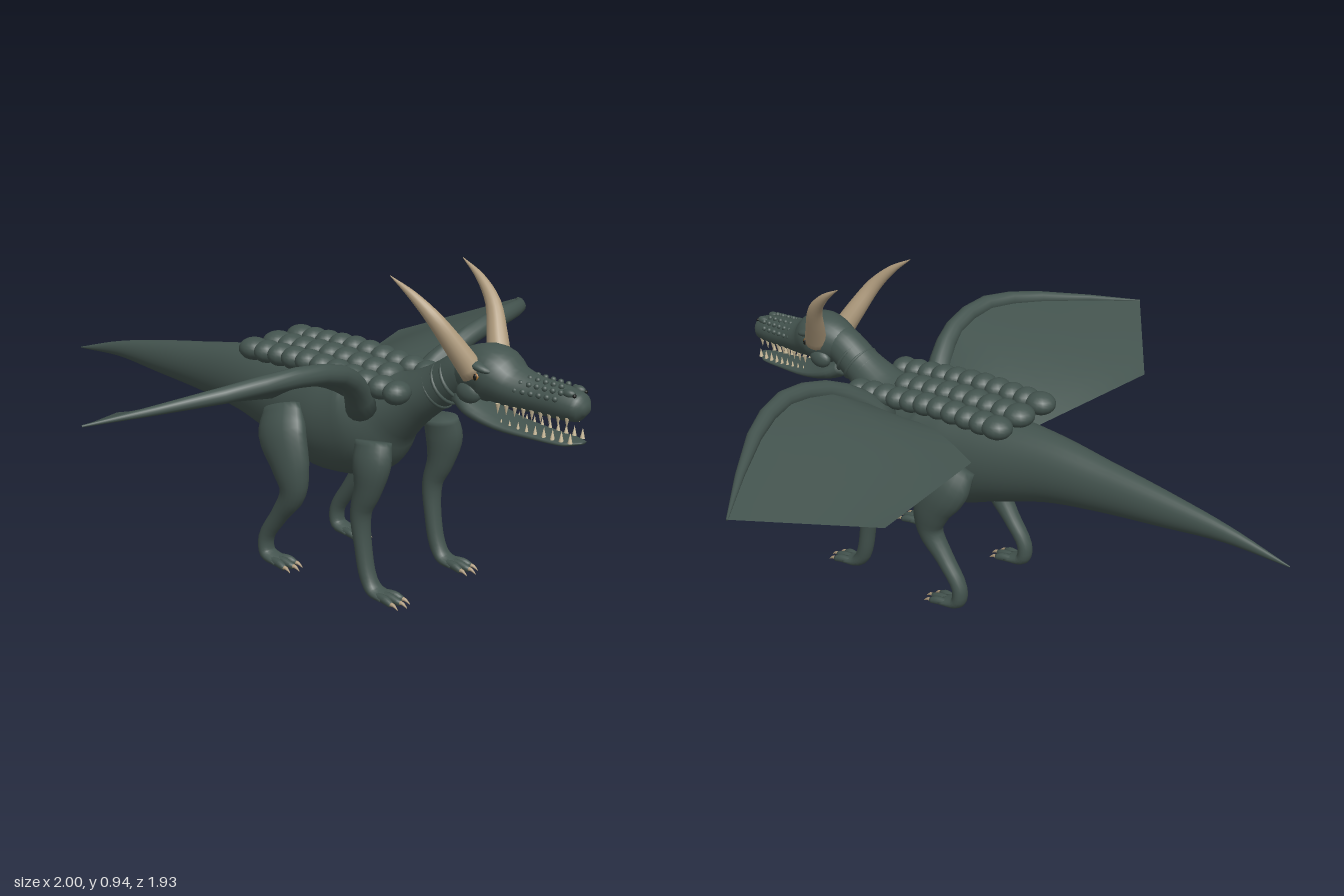
import * as THREE from 'three';

const mat = (name, color, side = THREE.FrontSide) => {
  const m = new THREE.MeshStandardMaterial({ color, side });
  m.name = name;
  return m;
};

// Closed skin of elliptical rings along [x, y, z, heightRadius, sideRadius] stations
function loft(stations, steps, n, ref = new THREE.Vector3(0, 0, 1)) {
  const path = new THREE.CatmullRomCurve3(stations.map(s => new THREE.Vector3(s[0], s[1], s[2])));
  const radii = new THREE.CatmullRomCurve3(stations.map(s => new THREE.Vector3(s[3], s[4], 0)));
  const rows = (stations.length - 1) * steps, pos = [], idx = [];
  for (let i = 0; i <= rows; i++) {
    const p = path.getPoint(i / rows), r = radii.getPoint(i / rows), T = path.getTangent(i / rows);
    const S = ref.clone().addScaledVector(T, -ref.dot(T)).normalize();
    const U = S.clone().cross(T);
    for (let j = 0; j < n; j++) {
      const a = (j / n) * Math.PI * 2;
      const v = p.clone().addScaledVector(U, Math.cos(a) * Math.max(r.x, 0.001)).addScaledVector(S, Math.sin(a) * Math.max(r.y, 0.001));
      pos.push(v.x, v.y, v.z);
    }
  }
  for (let i = 0; i < rows; i++) for (let j = 0; j < n; j++) {
    const k = (j + 1) % n, a = i * n + j, b = i * n + k;
    idx.push(a, b, a + n, b, b + n, a + n);
  }
  const first = stations[0], last = stations[stations.length - 1], c = (rows + 1) * n;
  pos.push(first[0], first[1], first[2], last[0], last[1], last[2]);
  for (let j = 0; j < n; j++) {
    const k = (j + 1) % n;
    idx.push(c, k, j, c + 1, rows * n + j, rows * n + k);
  }
  const g = new THREE.BufferGeometry();
  g.setAttribute('position', new THREE.Float32BufferAttribute(pos, 3));
  g.setIndex(idx);
  g.computeVertexNormals();
  return g;
}

// Wing sheet between leading and trailing edges, arched between them
function sheet(lead, trail, m = 10) {
  const pos = [], idx = [], w = m + 1;
  lead.forEach((l, i) => {
    const arch = 0.05 * (1 - i / (lead.length - 1));
    for (let j = 0; j <= m; j++) {
      const p = new THREE.Vector3(...l).lerp(new THREE.Vector3(...trail[i]), j / m);
      pos.push(p.x, p.y + arch * Math.sin((Math.PI * j) / m), p.z);
    }
  });
  for (let i = 0; i < lead.length - 1; i++) for (let j = 0; j < m; j++) {
    const a = i * w + j;
    idx.push(a, a + 1, a + w, a + 1, a + w + 1, a + w);
  }
  const g = new THREE.BufferGeometry();
  g.setAttribute('position', new THREE.Float32BufferAttribute(pos, 3));
  g.setIndex(idx);
  g.computeVertexNormals();
  return g;
}

export function createModel() {
  const root = new THREE.Group();
  root.name = 'hornedDragon';
  const hide = mat('hide', 0x43534e, THREE.DoubleSide);
  const horn = mat('horn', 0xae9a7c);
  const ivory = mat('ivory', 0xcbbb9a);
  const amber = mat('amber', 0xa8702f);
  const dark = mat('dark', 0x151817);

  const add = (name, geo, m, parent = root) => {
    const mesh = new THREE.Mesh(geo, m);
    mesh.name = name;
    parent.add(mesh);
    return mesh;
  };
  const ball = new THREE.SphereGeometry(1, 16, 12);
  const blob = (name, m, x, y, z, rx, ry = rx, rz = rx, parent = root) => {
    const b = add(name, ball, m, parent);
    b.position.set(x, y, z);
    b.scale.set(rx, ry, rz);
    return b;
  };

  // Tail, trunk and neck in one skin
  add('body', loft([
    [-1, 0.46, 0, 0.002, 0.002], [-0.8, 0.49, 0, 0.026, 0.02], [-0.6, 0.498, 0, 0.055, 0.04],
    [-0.4, 0.502, 0, 0.08, 0.06], [-0.2, 0.5, 0, 0.11, 0.085], [0, 0.475, 0, 0.145, 0.12],
    [0.15, 0.455, 0, 0.17, 0.14], [0.27, 0.47, 0, 0.165, 0.14], [0.36, 0.52, 0, 0.11, 0.11],
    [0.45, 0.57, 0, 0.075, 0.08], [0.54, 0.625, 0, 0.062, 0.062], [0.62, 0.675, 0, 0.062, 0.06],
    [0.68, 0.69, 0, 0.04, 0.05]], 5, 28), hide);
  blob('bellySpur', horn, 0.3, 0.315, 0, 0.018, 0.025, 0.01);

  // Neck folds
  for (let i = 0; i < 3; i++) {
    const fold = add('neckFold', new THREE.TorusGeometry(0.06, 0.006, 8, 28), hide);
    fold.position.set(0.52 + i * 0.03, 0.61 + i * 0.018, 0);
    fold.rotation.set(0, Math.PI / 2, 0);
    fold.rotation.order = 'ZYX';
    fold.rotation.z = 0.55;
  }

  // Head and jaws
  const head = new THREE.Group();
  head.name = 'head';
  root.add(head);
  add('skull', loft([
    [0.59, 0.67, 0, 0.05, 0.05], [0.65, 0.68, 0, 0.074, 0.072], [0.71, 0.684, 0, 0.08, 0.086],
    [0.77, 0.662, 0, 0.06, 0.07], [0.85, 0.65, 0, 0.05, 0.054], [0.93, 0.645, 0, 0.047, 0.05],
    [0.98, 0.64, 0, 0.038, 0.042], [1, 0.637, 0, 0.012, 0.015]], 4, 24), hide, head);
  add('lowerJaw', loft([
    [0.6, 0.61, 0, 0.03, 0.045], [0.66, 0.58, 0, 0.028, 0.066], [0.75, 0.555, 0, 0.02, 0.062],
    [0.87, 0.545, 0, 0.013, 0.05], [0.95, 0.543, 0, 0.01, 0.042], [0.993, 0.548, 0, 0.004, 0.014]], 4, 20), hide, head);

  const tooth = new THREE.ConeGeometry(0.007, 0.03, 7);
  for (const s of [1, -1]) {
    // Teeth
    for (let i = 0; i < 9; i++) {
      const x = 0.75 + i * 0.026, z = s * (0.05 - i * 0.0018);
      const up = add('upperTooth', tooth, ivory, head);
      up.position.set(x, 0.602, z * 0.88);
      up.rotation.x = Math.PI;
      add('lowerTooth', tooth, ivory, head).position.set(x + 0.012, 0.563, z * 0.85);
    }
    // Eyes, brows, cheeks and nostrils
    blob('eye', amber, 0.7, 0.69, s * 0.078, 0.016, 0.012, 0.012, head);
    blob('pupil', dark, 0.703, 0.69, s * 0.088, 0.005, 0.009, 0.004, head);
    blob('brow', hide, 0.705, 0.716, s * 0.07, 0.04, 0.013, 0.022, head).rotation.z = -0.25;
    blob('cheek', hide, 0.665, 0.635, s * 0.06, 0.04, 0.03, 0.022, head);
    blob('nostrilRidge', hide, 0.955, 0.68, s * 0.024, 0.02, 0.012, 0.013, head);
    blob('nostril', dark, 0.975, 0.677, s * 0.028, 0.005, 0.005, 0.006, head);
    // Scale bumps along the snout
    for (let i = 0; i < 8; i++) for (let j = 0; j < 3; j++) {
      const a = 0.35 + j * 0.45, x = 0.76 + i * 0.024 + (j % 2) * 0.01;
      const r = 0.062 - i * 0.0015;
      blob('headScale', hide, x, 0.65 + Math.cos(a) * (r - 0.007), s * Math.sin(a) * (r - 0.002), 0.008, 0.008, 0.008, head);
    }
    // Horn
    add('horn', loft([
      [0.68, 0.69, s * 0.06, 0.036, 0.034], [0.645, 0.76, s * 0.095, 0.031, 0.029],
      [0.6, 0.84, s * 0.135, 0.023, 0.021], [0.54, 0.9, s * 0.155, 0.013, 0.012],
      [0.472, 0.945, s * 0.165, 0.001, 0.001]], 4, 16), horn, head);
  }

  // Rows of back scutes
  for (const s of [-1, 0, 1]) {
    const count = s ? 11 : 9;
    for (let i = 0; i < count; i++) {
      const x = -0.085 + i * 0.054, drop = Math.max(0, x - 0.15);
      const r = i === 0 ? 0.048 : 0.038;
      blob('backScute', hide, x, 0.636 - drop * 0.11, s * 0.105, r, 0.034, s ? 0.046 : 0.05);
    }
  }

  // Legs
  const legs = {
    frontLeg: [[0.415, 0.465, 0.155, 0.06, 0.035], [0.42, 0.41, 0.168, 0.062, 0.043], [0.41, 0.33, 0.17, 0.043, 0.038],
      [0.383, 0.25, 0.168, 0.03, 0.033], [0.39, 0.15, 0.165, 0.024, 0.028], [0.41, 0.06, 0.165, 0.024, 0.026],
      [0.435, 0.025, 0.165, 0.02, 0.03], [0.48, 0.015, 0.165, 0.012, 0.034]],
    hindLeg: [[0.05, 0.49, 0.13, 0.07, 0.035], [0.075, 0.42, 0.16, 0.088, 0.05], [0.115, 0.33, 0.17, 0.066, 0.046],
      [0.125, 0.25, 0.168, 0.043, 0.036], [0.07, 0.165, 0.165, 0.027, 0.029], [0.015, 0.08, 0.165, 0.023, 0.026],
      [0.02, 0.03, 0.165, 0.022, 0.028], [0.075, 0.015, 0.165, 0.012, 0.034]]
  };
  for (const [name, stations] of Object.entries(legs)) for (const s of [1, -1]) {
    const leg = new THREE.Group();
    leg.name = name;
    root.add(leg);
    add('limb', loft(stations.map(([x, y, z, a, b]) => [x, y, s * z, a, b]), 4, 18), hide, leg);
    const x0 = stations[stations.length - 1][0];
    for (const t of [-1, 0, 1]) {
      const z = s * 0.165 + t * 0.022, reach = t ? 0 : 0.012;
      add('toe', loft([[x0 - 0.03, 0.018, z - t * 0.006, 0.012, 0.012], [x0 + 0.01, 0.018, z, 0.013, 0.012],
        [x0 + 0.035 + reach, 0.011, z + t * 0.004, 0.009, 0.009]], 3, 10), hide, leg);
      add('claw', loft([[x0 + 0.03 + reach, 0.013, z + t * 0.004, 0.007, 0.007],
        [x0 + 0.045 + reach, 0.012, z + t * 0.005, 0.005, 0.005],
        [x0 + 0.06 + reach, 0.002, z + t * 0.006, 0.001, 0.001]], 2, 8), horn, leg);
    }
  }

  // Wings
  for (const s of [1, -1]) {
    const wing = new THREE.Group();
    wing.name = 'wing';
    root.add(wing);
    const lead = [[0.34, 0.54, 0.12], [0.375, 0.62, 0.19], [0.41, 0.685, 0.3], [0.412, 0.715, 0.47], [0.335, 0.695, 0.665], [0.13, 0.64, 0.965]];
    const radius = [0.045, 0.036, 0.03, 0.028, 0.022, 0.003];
    const side = ([x, y, z]) => [x, y, s * z];
    const trail = lead.map((_, i) => [-0.115 * i / 5, 0.5 + 0.05 * i / 5, 0.12 + 0.51 * i / 5]);
    add('wingArm', loft(lead.map((p, i) => [...side(p), radius[i], radius[i]]), 2, 14, new THREE.Vector3(1, 0, 0)), hide, wing);
    add('wingMembrane', sheet(lead.map(side), trail.map(side)), hide, wing);
  }
  return root;
}
